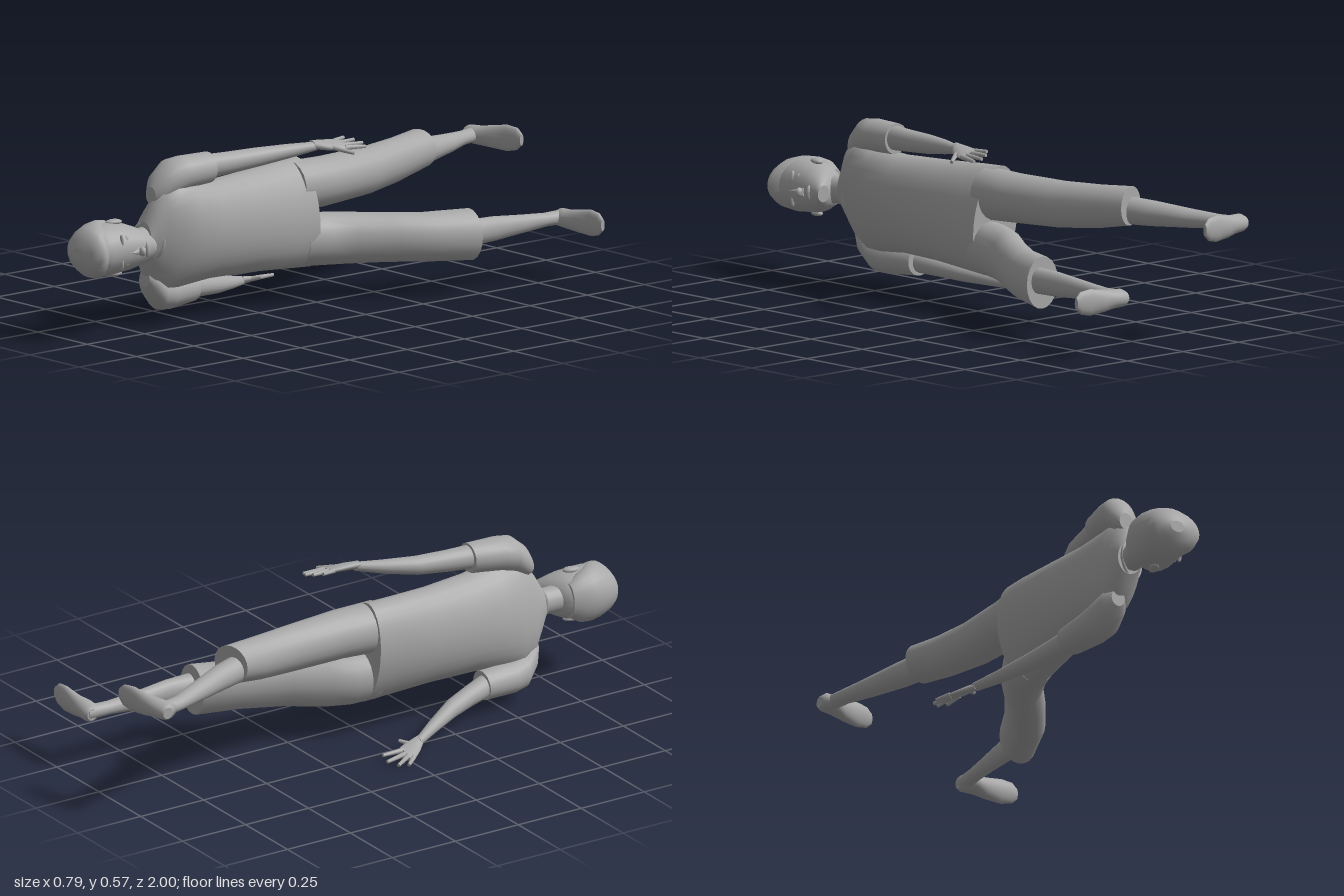
import * as THREE from 'three';

const grey = new THREE.MeshStandardMaterial({ color: 0xa8a8a8 });
grey.name = 'plain grey';

// Smooth skin through elliptical rings, with flat end caps.
// Row: [along, centre, y, half width, half height, lean, slant]
function loft(rows, alongX = false, n = 20) {
  const pos = [], idx = [];
  const put = (row, a, s = 1) => {
    const [t, c, y, rw, rh, lean = 0, slant = 0] = row;
    const dy = Math.sin(a) * rh * s;
    const dw = Math.cos(a) * rw * s + lean * dy;
    const along = t + slant * dw;
    if (alongX) pos.push(along, y + dy, c + dw);
    else pos.push(c + dw, y + dy, along);
  };
  const ring = row => { for (let i = 0; i < n; i++) put(row, i / n * Math.PI * 2); };
  rows.forEach(ring);
  for (let r = 0; r < rows.length - 1; r++) for (let i = 0; i < n; i++) {
    const a = r * n + i, b = r * n + (i + 1) % n;
    idx.push(a, b, a + n, b, b + n, a + n);
  }
  [rows[0], rows[rows.length - 1]].forEach((row, end) => {
    const base = pos.length / 3;
    ring(row);
    put(row, 0, 0);
    for (let i = 0; i < n; i++) {
      const a = base + i, b = base + (i + 1) % n;
      idx.push(...(end ? [a, b, base + n] : [b, a, base + n]));
    }
  });
  // Turn the skin outward whichever way the rows run
  if ((rows[rows.length - 1][0] < rows[0][0]) !== alongX)
    for (let i = 0; i < idx.length; i += 3) [idx[i], idx[i + 1]] = [idx[i + 1], idx[i]];
  const g = new THREE.BufferGeometry();
  g.setAttribute('position', new THREE.Float32BufferAttribute(pos, 3));
  g.setIndex(idx);
  g.computeVertexNormals();
  return g;
}

export function createModel() {
  const model = new THREE.Group();
  const add = (name, geometry, parent = model) => {
    const m = new THREE.Mesh(geometry, grey);
    m.name = name;
    parent.add(m);
    return m;
  };
  const ball = (name, x, y, z, rx, ry, rz) => {
    const m = add(name, new THREE.SphereGeometry(1, 14, 10));
    m.position.set(x, y, z);
    m.scale.set(rx, ry, rz);
    return m;
  };

  // Shirt body, twisting from hem to shoulders
  add('shirt', loft([
    [0, -0.08, 0.298, 0.098, 0.183, -0.13],
    [0.1, -0.08, 0.299, 0.1, 0.178, -0.1],
    [0.25, -0.075, 0.3, 0.1, 0.17, -0.03],
    [0.42, -0.065, 0.3, 0.1, 0.168, 0.08],
    [0.53, -0.06, 0.3, 0.097, 0.18, 0.15],
    [0.6, -0.062, 0.3, 0.087, 0.19, 0.18],
    [0.65, -0.065, 0.303, 0.07, 0.165, 0.18],
    [0.685, -0.066, 0.305, 0.055, 0.105, 0.15],
    [0.705, -0.065, 0.305, 0.047, 0.062, 0.1]], false, 28));
  const collar = add('collar', new THREE.TorusGeometry(0.055, 0.006, 6, 24));
  collar.position.set(-0.052, 0.304, 0.688);
  collar.rotation.y = 0.5;
  collar.scale.y = 1.15;

  // Neck and head
  add('neck', loft([
    [0.64, -0.065, 0.304, 0.046, 0.05],
    [0.72, -0.06, 0.302, 0.042, 0.045],
    [0.82, -0.06, 0.3, 0.046, 0.048]]));
  add('head', loft([
    [0.732, 0.017, 0.3, 0.026, 0.028],
    [0.745, 0.002, 0.3, 0.044, 0.046],
    [0.775, -0.028, 0.3, 0.075, 0.066],
    [0.81, -0.046, 0.3, 0.092, 0.08],
    [0.86, -0.054, 0.3, 0.094, 0.087],
    [0.91, -0.055, 0.3, 0.092, 0.088],
    [0.95, -0.052, 0.3, 0.084, 0.078],
    [0.98, -0.05, 0.3, 0.06, 0.055]], false, 24));
  add('hair', loft([
    [0.8, -0.1, 0.3, 0.035, 0.06],
    [0.84, -0.098, 0.3, 0.054, 0.085],
    [0.88, -0.085, 0.3, 0.07, 0.093],
    [0.92, -0.062, 0.3, 0.09, 0.094],
    [0.955, -0.047, 0.3, 0.095, 0.084],
    [0.975, -0.042, 0.3, 0.088, 0.068],
    [0.99, -0.047, 0.3, 0.062, 0.047],
    [1, -0.05, 0.3, 0.025, 0.02]], false, 24));
  const nose = add('nose', new THREE.ConeGeometry(0.016, 0.06, 8));
  nose.position.set(0.048, 0.3, 0.828);
  nose.rotation.set(Math.PI / 2, 0, -0.25);
  ball('noseTip', 0.057, 0.3, 0.808, 0.014, 0.016, 0.011);
  ball('mouth', 0.042, 0.3, 0.776, 0.012, 0.026, 0.009);
  for (const s of [-1, 1]) {
    const side = s > 0 ? 'left' : 'right';
    ball(side + 'Eye', 0.019, 0.3 + s * 0.037, 0.848, 0.012, 0.017, 0.008);
    ball(side + 'Brow', 0.026, 0.3 + s * 0.036, 0.872, 0.01, 0.025, 0.006);
    ball(side + 'Ear', -0.052, 0.3 + s * 0.087, 0.84, 0.017, 0.01, 0.03).rotation.y = -0.25;
  }

  // Sleeves and arms
  add('leftSleeve', loft([
    [0.67, -0.062, 0.45, 0.025, 0.03], [0.645, -0.06, 0.47, 0.05, 0.055],
    [0.6, -0.053, 0.502, 0.063, 0.062], [0.55, -0.048, 0.512, 0.062, 0.058],
    [0.44, -0.04, 0.518, 0.051, 0.052]]));
  add('rightSleeve', loft([
    [0.67, -0.092, 0.165, 0.025, 0.03], [0.645, -0.1, 0.145, 0.05, 0.055],
    [0.6, -0.113, 0.108, 0.063, 0.062], [0.55, -0.122, 0.098, 0.063, 0.058],
    [0.43, -0.138, 0.097, 0.053, 0.05]]));
  add('leftArm', loft([
    [0.47, -0.04, 0.52, 0.04, 0.042], [0.36, -0.03, 0.523, 0.036, 0.037],
    [0.25, -0.016, 0.528, 0.034, 0.032], [0.14, 0.016, 0.538, 0.026, 0.024],
    [0.05, 0.05, 0.548, 0.017, 0.015]]));
  add('rightArm', loft([
    [0.46, -0.135, 0.098, 0.04, 0.04], [0.36, -0.165, 0.085, 0.036, 0.035],
    [0.27, -0.195, 0.072, 0.034, 0.031], [0.16, -0.25, 0.053, 0.026, 0.022],
    [0.07, -0.3, 0.038, 0.017, 0.015]]));

  // Hands: flat palm, four fingers and a thumb
  const hand = (name, palm, y, fingers) => {
    const g = new THREE.Group();
    g.name = name;
    model.add(g);
    const palmMesh = add('palm', loft(palm), g);
    const p = palmMesh.geometry.attributes.position;
    for (let i = 0; i < p.count; i++) p.setY(i, p.getY(i) + y(p.getX(i)));
    palmMesh.geometry.computeVertexNormals();
    fingers.forEach(([x0, z0, x1, z1], i) => {
      const a = new THREE.Vector3(x0, y(x0), z0), b = new THREE.Vector3(x1, y(x1), z1);
      const f = add(i < 4 ? 'finger' : 'thumb',
        new THREE.CylinderGeometry(0.006, 0.009, a.distanceTo(b), 8), g);
      f.position.lerpVectors(a, b, 0.5);
      f.quaternion.setFromUnitVectors(new THREE.Vector3(0, 1, 0), b.sub(a).normalize());
    });
  };
  hand('leftHand', [
    [0.06, 0.047, 0, 0.017, 0.014], [0.02, 0.064, 0, 0.03, 0.014],
    [-0.02, 0.073, 0, 0.037, 0.011], [-0.045, 0.078, 0, 0.036, 0.008]],
    x => 0.553 - 0.25 * (x - 0.05), [
      [0.05, -0.03, 0.037, -0.085], [0.068, -0.035, 0.062, -0.108],
      [0.086, -0.035, 0.092, -0.12], [0.103, -0.035, 0.118, -0.11],
      [0.085, 0.01, 0.15, -0.035]]);
  hand('rightHand', [
    [0.08, -0.295, 0, 0.017, 0.014], [0.05, -0.313, 0, 0.028, 0.013],
    [0.015, -0.332, 0, 0.036, 0.011], [-0.01, -0.34, 0, 0.034, 0.008]],
    x => 0.008 + 0.3 * (x + 0.4), [
      [-0.362, 0.01, -0.393, -0.03], [-0.352, -0.005, -0.383, -0.065],
      [-0.338, -0.005, -0.354, -0.09], [-0.32, -0.005, -0.32, -0.085],
      [-0.305, 0.04, -0.272, 0.01]]);

  // Trouser legs, cut off below the knee
  add('leftTrouser', loft([
    [0.04, -0.085, 0.385, 0.082, 0.088], [-0.1, -0.082, 0.388, 0.082, 0.083],
    [-0.3, -0.1, 0.392, 0.072, 0.079], [-0.45, -0.127, 0.402, 0.067, 0.074],
    [-0.578, -0.155, 0.417, 0.065, 0.066, 0, -0.35]]));
  add('rightTrouser', loft([
    [0.04, -0.063, 0.21, 0.08, 0.09], [-0.05, -0.048, 0.205, 0.083, 0.09],
    [-0.13, -0.015, 0.202, 0.08, 0.088], [-0.24, 0.058, 0.2, 0.078, 0.084],
    [-0.37, 0.13, 0.195, 0.077, 0.084], [-0.51, 0.18, 0.192, 0.07, 0.088]]));

  // Shins
  add('leftShin', loft([
    [-0.54, -0.155, 0.4, 0.045, 0.048], [-0.65, -0.19, 0.397, 0.044, 0.043],
    [-0.78, -0.24, 0.392, 0.036, 0.032], [-0.87, -0.277, 0.39, 0.03, 0.024],
    [-0.96, -0.3, 0.39, 0.026, 0.025]]));
  add('rightShin', loft([
    [-0.47, 0.193, 0.2, 0.038, 0.045], [-0.6, 0.195, 0.2, 0.03, 0.042],
    [-0.73, 0.193, 0.198, 0.026, 0.031], [-0.83, 0.195, 0.198, 0.025, 0.023],
    [-0.92, 0.197, 0.198, 0.026, 0.025]]));

  // Feet, heel to toe
  const foot = (x, y, z, dz) => loft([
    [x, z + 0.03, y, 0.018, 0.02], [x + 0.015, z + 0.038, y, 0.036, 0.03],
    [x + 0.055, z + 0.036 + dz * 0.25, y, 0.035, 0.032],
    [x + 0.1, z + 0.025 + dz * 0.5, y, 0.025, 0.038],
    [x + 0.16, z + 0.017 + dz * 0.75, y + 0.003, 0.017, 0.045],
    [x + 0.2, z + 0.014 + dz * 0.95, y + 0.005, 0.014, 0.038],
    [x + 0.22, z + 0.012 + dz, y + 0.005, 0.008, 0.02]], true);
  add('leftFoot', foot(-0.33, 0.39, -0.975, -0.025));
  add('rightFoot', foot(0.175, 0.196, -0.94, 0.02));
  return model;
}
